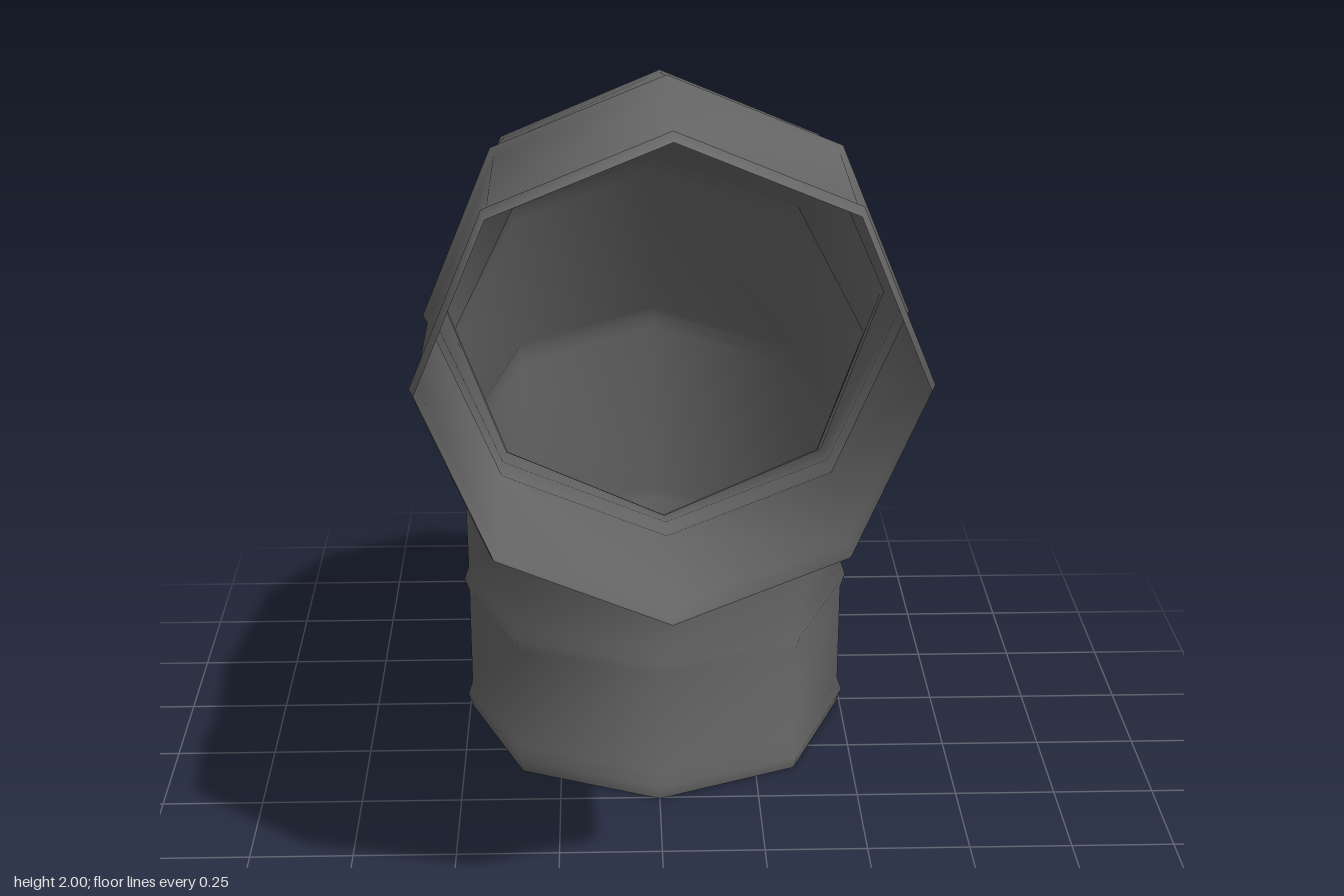
import * as THREE from 'three';

const SIDES = 8;
const R = 0.493, BEAD_R = 0.505, BEAD_HALF = 0.036;

// Bead centres along the elbow: z, y, tilt in degrees (0 = up, 90 = forward)
const BEADS = [
  [-0.487, 0.037, 0],
  [-0.487, 0.383, 0],
  [-0.42, 0.792, 21.5],
  [-0.185, 1.162, 44],
  [0.165, 1.402, 66.5],
  [0.545, 1.494, 90],
  [0.963, 1.494, 90],
];

// Skins octagonal rings into an open tube with shared vertices
function skin(rings) {
  const pos = [], index = [];
  for (const { z, y, tilt, r } of rings) {
    const oz = -Math.cos(tilt), oy = Math.sin(tilt);
    for (let j = 0; j < SIDES; j++) {
      const t = (j / SIDES) * Math.PI * 2;
      const c = r * Math.cos(t), s = r * Math.sin(t);
      pos.push(c, y + oy * s, z + oz * s);
    }
  }
  for (let i = 0; i < rings.length - 1; i++) {
    for (let j = 0; j < SIDES; j++) {
      const k = (j + 1) % SIDES;
      const a = i * SIDES + j, b = i * SIDES + k;
      index.push(a, b, b + SIDES, a, b + SIDES, a + SIDES);
    }
  }
  const geo = new THREE.BufferGeometry();
  geo.setAttribute('position', new THREE.Float32BufferAttribute(pos, 3));
  geo.setIndex(index);
  geo.computeVertexNormals();
  return geo;
}

export function createModel() {
  const group = new THREE.Group();
  group.name = 'ductElbow';
  const metal = new THREE.MeshStandardMaterial({ color: 0x696969, side: THREE.DoubleSide });
  metal.name = 'dark grey metal';

  // Each raised bead is three rings; the walls span between beads
  const rings = [];
  for (const [z, y, deg] of BEADS) {
    const tilt = THREE.MathUtils.degToRad(deg);
    for (const d of [-1, 0, 1]) {
      rings.push({
        z: z + Math.sin(tilt) * d * BEAD_HALF,
        y: y + Math.cos(tilt) * d * BEAD_HALF,
        tilt,
        r: d === 0 ? BEAD_R : R,
      });
    }
  }
  // Open ends sit flush with the floor and the front
  rings[0].y = 0;
  rings[rings.length - 1].z = 1;

  const pipe = new THREE.Mesh(skin(rings), metal);
  pipe.name = 'elbowPipe';
  group.add(pipe);
  return group;
}
